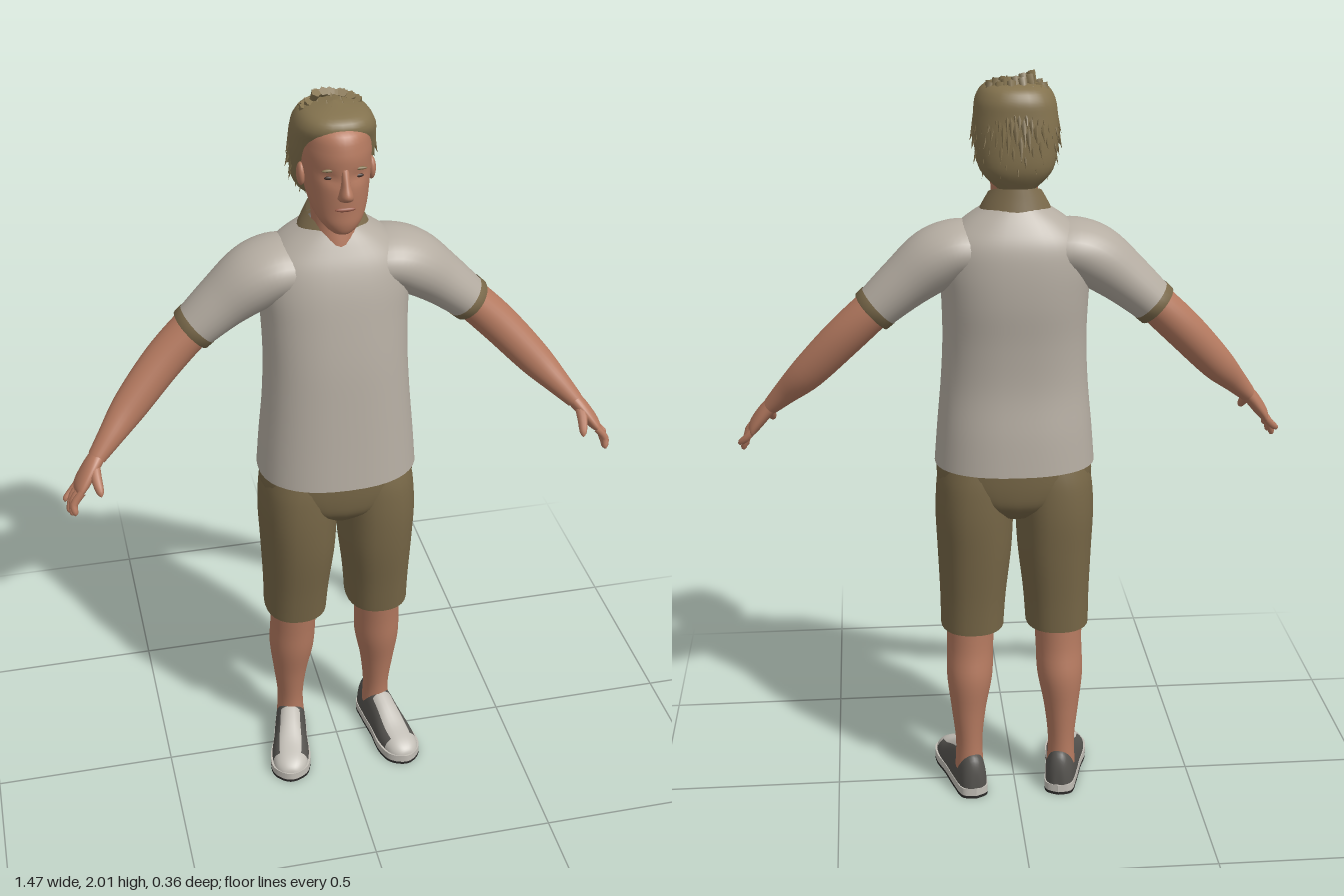
import * as THREE from 'three';
import { mergeGeometries } from 'three/addons/utils/BufferGeometryUtils.js';

const mat = (name, color, side = THREE.FrontSide) => {
  const m = new THREE.MeshStandardMaterial({ color, side });
  m.name = name;
  return m;
};
const X = new THREE.Vector3(1, 0, 0), Z = new THREE.Vector3(0, 0, 1);

// Smooth blend through rows of numbers
function sample(rows, t) {
  const i = Math.min(Math.floor(t), rows.length - 2), f = t - i;
  const at = k => rows[Math.max(0, Math.min(rows.length - 1, k))];
  return rows[i].map((b, k) => {
    const a = at(i - 1)[k], c = at(i + 1)[k], d = at(i + 2)[k];
    return b + 0.5 * f * (c - a + f * (2 * a - 5 * b + 4 * c - d + f * (3 * (b - c) + d - a)));
  });
}

// Skin over rings given as [x, y, z, radiusU, radiusV]; tilted rings follow the path
function loft(rows, { seg = 28, sub = 5, power = 2, ref = Z, tilt = false, gap = 0, rule } = {}) {
  const n = (rows.length - 1) * sub, pos = [], index = [], cols = gap ? seg + 1 : seg;
  const rings = Array.from({ length: n + 1 }, (_, i) => sample(rows, i / sub));
  const point = r => new THREE.Vector3(r[0], r[1], r[2]);
  rings.forEach((r, i) => {
    const t = point(rings[Math.min(n, i + 1)]).sub(point(rings[Math.max(0, i - 1)])).normalize();
    if (!tilt) t.set(0, 1, 0);
    const u = new THREE.Vector3().crossVectors(t, ref).normalize();
    const v = new THREE.Vector3().crossVectors(u, t);
    for (let j = 0; j < cols; j++) {
      const a = Math.PI / 2 + gap + (j / seg) * (Math.PI * 2 - 2 * gap);
      const c = Math.cos(a), s = Math.sin(a);
      const round = w => Math.sign(w) * Math.pow(Math.abs(w), 2 / power);
      const p = point(r).addScaledVector(u, r[3] * round(c)).addScaledVector(v, r[4] * round(s));
      if (rule) rule(p);
      pos.push(p.x, p.y, p.z);
    }
  });
  for (let i = 0; i < n; i++) for (let j = 0; j < seg; j++) {
    const k = (j + 1) % cols, a = i * cols + j, b = i * cols + k, c = a + cols, d = b + cols;
    index.push(a, c, d, a, d, b);
  }
  const g = new THREE.BufferGeometry();
  g.setAttribute('position', new THREE.Float32BufferAttribute(pos, 3));
  g.setIndex(index);
  g.computeVertexNormals();
  return g;
}

// Give the triangles that pass the test the second material
function paint(g, test) {
  const p = g.attributes.position, ix = g.index.array, parts = [[], []];
  for (let i = 0; i < ix.length; i += 3) {
    const tri = [ix[i], ix[i + 1], ix[i + 2]], c = new THREE.Vector3();
    tri.forEach(k => c.add(new THREE.Vector3().fromBufferAttribute(p, k)));
    parts[test(c.divideScalar(3)) ? 1 : 0].push(...tri);
  }
  g.setIndex([...parts[0], ...parts[1]]);
  g.addGroup(0, parts[0].length, 0);
  g.addGroup(parts[0].length, parts[1].length, 1);
  return g;
}

export function createModel() {
  const root = new THREE.Group();
  root.name = 'standingMan';
  const skin = mat('skin', 0xb57a60), lip = mat('lips', 0x9a5c4a), eye = mat('eyes', 0x3d2c25);
  const shirt = mat('shirt', 0xb5ada2, THREE.DoubleSide);
  const trim = mat('collar and cuffs', 0x7c6b4c, THREE.DoubleSide);
  const khaki = mat('shorts', 0x776747, THREE.DoubleSide);
  const hair = mat('hair', 0x83724e), grey = mat('shoe grey', 0x55534f);
  const light = mat('shoe light', 0xc2beb6), dark = mat('shoe bottom', 0x2b2a29);
  const add = (name, g, m, parent = root) => {
    const mesh = new THREE.Mesh(g, m);
    mesh.name = name;
    parent.add(mesh);
    return mesh;
  };
  const blob = (name, m, p, s) => {
    const b = add(name, new THREE.SphereGeometry(1, 16, 10), m);
    b.position.set(...p);
    b.scale.set(...s);
  };

  // Shirt body, collar and shorts seat
  add('shirtBody', loft([
    [0, 0.98, -0.012, 0.213, 0.165], [0, 1.08, -0.012, 0.205, 0.158], [0, 1.2, -0.01, 0.194, 0.148],
    [0, 1.32, -0.017, 0.188, 0.146], [0, 1.43, -0.03, 0.19, 0.145], [0, 1.52, -0.038, 0.195, 0.138],
    [0, 1.585, -0.043, 0.185, 0.124], [0, 1.635, -0.043, 0.135, 0.1], [0, 1.675, -0.04, 0.075, 0.075],
  ], { seg: 40, power: 2.35 }), shirt);
  add('collar', loft([
    [0, 1.635, -0.03, 0.103, 0.092], [0, 1.67, -0.033, 0.088, 0.082], [0, 1.705, -0.037, 0.068, 0.072],
  ], { gap: 0.38, rule: p => { p.y -= (p.z + 0.035) * 0.32; } }), trim);
  add('shortsSeat', loft([
    [0, 0.84, -0.012, 0.06, 0.1], [0, 0.88, -0.012, 0.16, 0.138], [0, 0.93, -0.012, 0.205, 0.15],
    [0, 1.0, -0.012, 0.205, 0.153],
  ], { power: 2.3 }), khaki);

  // Neck and head
  add('neck', loft([
    [0, 1.6, -0.012, 0.045, 0.075], [0, 1.65, -0.014, 0.057, 0.066], [0, 1.7, -0.018, 0.06, 0.06],
    [0, 1.77, -0.025, 0.064, 0.068],
  ]), skin);
  add('head', loft([
    [0, 1.687, 0.06, 0.002, 0.002], [0, 1.69, 0.058, 0.025, 0.028], [0, 1.715, 0.042, 0.052, 0.055],
    [0, 1.75, 0.015, 0.07, 0.084], [0, 1.8, -0.01, 0.081, 0.112], [0, 1.85, -0.02, 0.087, 0.12],
    [0, 1.9, -0.02, 0.086, 0.12], [0, 1.95, -0.02, 0.07, 0.097], [0, 1.98, -0.02, 0.002, 0.002],
  ], { seg: 40, rule: p => {
    // Shallow eye sockets
    if (p.z > 0) p.z -= 0.007 * Math.exp(-(((Math.abs(p.x) - 0.035) / 0.02) ** 2) - ((p.y - 1.84) / 0.014) ** 2);
  } }), skin);
  add('nose', loft([
    [0, 1.783, 0.098, 0.004, 0.004], [0, 1.79, 0.1, 0.019, 0.021], [0, 1.805, 0.103, 0.017, 0.029],
    [0, 1.83, 0.1, 0.011, 0.02], [0, 1.865, 0.093, 0.009, 0.008],
  ], { seg: 16 }), skin);
  blob('mouth', lip, [0, 1.761, 0.096], [0.026, 0.006, 0.007]);
  for (const s of [-1, 1]) {
    blob('eye', eye, [0.035 * s, 1.84, 0.081], [0.014, 0.005, 0.005]);
    blob('eyebrow', hair, [0.036 * s, 1.861, 0.087], [0.02, 0.004, 0.005]);
    blob('ear', skin, [0.088 * s, 1.82, -0.005], [0.011, 0.03, 0.02]);
  }

  // Hair cap with overlapping locks
  add('hairCap', loft([
    [0, 1.725, -0.09, 0.05, 0.03], [0, 1.77, -0.08, 0.092, 0.066], [0, 1.84, -0.066, 0.106, 0.085],
    [0, 1.9, -0.05, 0.106, 0.1], [0, 1.945, -0.036, 0.098, 0.11], [0, 1.975, -0.032, 0.07, 0.085],
    [0, 1.99, -0.03, 0.002, 0.002],
  ], { power: 2.3 }), hair);
  const locks = [];
  for (let i = 0; i < 110; i++) {
    const h = -0.8 + 1.7 * (i / 109), turn = (i * 0.618034) % 1;
    const a = -Math.PI - 0.05 + turn * (Math.PI + 0.1), r = Math.sqrt(1 - h * h);
    const out = new THREE.Vector3(Math.cos(a) * r, h, Math.sin(a) * r);
    const dir = new THREE.Vector3(out.x * 0.3, -1 + 0.5 * Math.max(0, h), out.z * 0.45 - 0.25 * Math.max(0, h)).normalize();
    const g = new THREE.ConeGeometry(0.013, 0.06 + 0.015 * ((i * 7) % 3), 5);
    g.applyQuaternion(new THREE.Quaternion().setFromUnitVectors(new THREE.Vector3(0, 1, 0), dir));
    g.translate(out.x * 0.104, 1.865 + out.y * 0.115, -0.052 + out.z * 0.1);
    locks.push(g);
  }
  // Short tufts standing on the crown
  for (let i = 0; i < 12; i++) {
    const a = i * 2.4, r = 0.02 + 0.004 * i, g = new THREE.ConeGeometry(0.012, 0.034, 5);
    g.rotateX(-0.7);
    g.translate(Math.cos(a) * r, 1.984 - r * r * 5, -0.035 + Math.sin(a) * r);
    locks.push(g);
  }
  add('hairLocks', mergeGeometries(locks), hair);

  // Shoe footprint
  const foot = new THREE.Shape();
  foot.moveTo(0, 0.125);
  foot.splineThru([[0.036, 0.108], [0.045, 0.05], [0.05, -0.03], [0.058, -0.1], [0.046, -0.155], [0, -0.182],
    [-0.046, -0.155], [-0.058, -0.1], [-0.05, -0.03], [-0.045, 0.05], [-0.036, 0.108], [0, 0.125]]
    .map(p => new THREE.Vector2(...p)));
  const slab = (y, depth) => new THREE.ExtrudeGeometry(foot, { depth, bevelEnabled: false, curveSegments: 40 })
    .rotateX(-Math.PI / 2).translate(0, y, 0);

  for (const s of [-1, 1]) {
    const side = s > 0 ? 'left' : 'right';
    const flip = rows => rows.map(([x, ...rest]) => [x * s, ...rest]);
    const limb = (name, rows, m, opts) => add(side + name, loft(flip(rows), opts), m);

    // Sleeve and cuff
    limb('Sleeve', [
      [0.09, 1.56, -0.042, 0.07, 0.105], [0.15, 1.56, -0.042, 0.076, 0.112], [0.21, 1.532, -0.043, 0.081, 0.105],
      [0.285, 1.475, -0.045, 0.069, 0.084], [0.362, 1.408, -0.045, 0.058, 0.068],
    ], shirt, { tilt: true });
    limb('Cuff', [
      [0.352, 1.417, -0.045, 0.061, 0.071], [0.37, 1.401, -0.045, 0.06, 0.069], [0.371, 1.4, -0.045, 0.05, 0.058],
    ], trim, { tilt: true, sub: 1 });

    // Arm, palm, fingers and thumb
    limb('Arm', [
      [0.3, 1.465, -0.045, 0.052, 0.058], [0.37, 1.403, -0.044, 0.052, 0.058], [0.45, 1.325, -0.03, 0.052, 0.053],
      [0.54, 1.228, 0.002, 0.046, 0.045], [0.6, 1.165, 0.038, 0.033, 0.034], [0.642, 1.12, 0.062, 0.023, 0.028],
    ], skin, { tilt: true });
    limb('Palm', [
      [0.632, 1.132, 0.056, 0.02, 0.024], [0.66, 1.1, 0.073, 0.02, 0.036], [0.688, 1.062, 0.087, 0.017, 0.042],
      [0.697, 1.045, 0.092, 0.01, 0.036], [0.698, 1.042, 0.093, 0.001, 0.001],
    ], skin, { tilt: true });
    for (let k = 0; k < 4; k++) {
      const z = 0.06 + 0.021 * k, tipX = 0.732 - 0.006 * k, tipY = [1.005, 0.985, 0.988, 1.0][k];
      limb('Finger', [
        [0.688, 1.06, z, 0.01, 0.01], [0.712, 1.03, z + 0.004, 0.01, 0.01],
        [tipX - 0.002, tipY + 0.008, z + 0.013, 0.008, 0.008], [tipX, tipY, z + 0.015, 0.001, 0.001],
      ], skin, { tilt: true, seg: 10, sub: 3 });
    }
    limb('Thumb', [
      [0.65, 1.115, 0.075, 0.014, 0.014], [0.65, 1.09, 0.11, 0.014, 0.014],
      [0.645, 1.063, 0.138, 0.01, 0.01], [0.643, 1.053, 0.147, 0.001, 0.001],
    ], skin, { tilt: true, seg: 10, sub: 3, ref: X });

    // Shorts leg and bare leg
    limb('ShortsLeg', [
      [0.117, 0.505, -0.02, 0.086, 0.103], [0.114, 0.6, -0.016, 0.09, 0.115], [0.109, 0.73, -0.012, 0.1, 0.134],
      [0.108, 0.84, -0.012, 0.105, 0.144], [0.102, 0.93, -0.012, 0.105, 0.143], [0.09, 0.99, -0.012, 0.1, 0.135],
    ], khaki, { power: 2.3 });
    limb('Leg', [
      [0.13, 0.07, -0.05, 0.04, 0.045], [0.13, 0.15, -0.048, 0.037, 0.046], [0.13, 0.25, -0.042, 0.048, 0.058],
      [0.126, 0.35, -0.034, 0.063, 0.074], [0.123, 0.44, -0.022, 0.064, 0.073], [0.12, 0.56, -0.012, 0.068, 0.08],
    ], skin);

    // Shoe: upper with light tongue and toe cap, light rim, dark bottom
    const shoe = new THREE.Group();
    shoe.name = side + 'Shoe';
    shoe.position.x = 0.14 * s;
    shoe.rotation.y = 0.2 * s;
    root.add(shoe);
    const upper = loft([
      [0, 0.02, -0.121, 0.002, 0.002], [0, 0.02, -0.118, 0.065, 0.02], [0, 0.02, -0.095, 0.102, 0.038],
      [0, 0.02, -0.03, 0.108, 0.045], [0, 0.02, 0.025, 0.09, 0.048], [0, 0.02, 0.09, 0.058, 0.054],
      [0, 0.02, 0.145, 0.04, 0.047], [0, 0.02, 0.172, 0.022, 0.026], [0, 0.02, 0.178, 0.002, 0.002],
    ], { tilt: true, ref: X, seg: 32, power: 2.3, rule: p => { p.y = Math.max(p.y, 0.02); } });
    add('upper', paint(upper, c => c.z > 0.125 || (c.z > -0.005 && Math.abs(c.x) < 0.03 && c.y > 0.04)), [grey, light], shoe);
    add('soleRim', slab(0.008, 0.022), light, shoe);
    add('soleBottom', slab(0, 0.008), dark, shoe);
  }
  return root;
}
